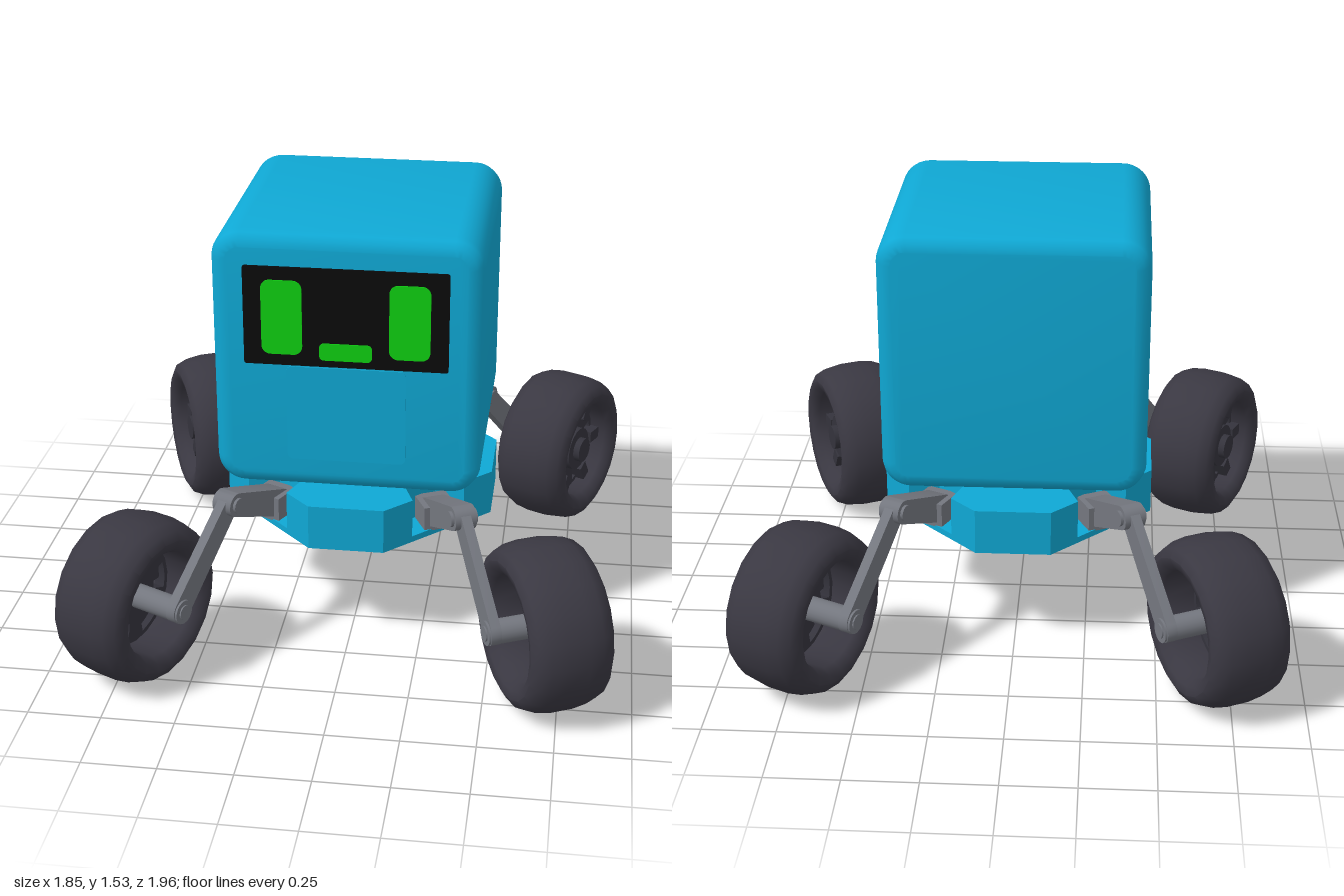
import * as THREE from 'three';
import { toCreasedNormals } from 'three/addons/utils/BufferGeometryUtils.js';
import { ConvexGeometry } from 'three/addons/geometries/ConvexGeometry.js';

const material = (name, color) => {
  const m = new THREE.MeshStandardMaterial({ color });
  m.name = name;
  return m;
};

// Rectangle with rounded corners, centred on (x, y)
function roundedRect(x, y, w, h, r) {
  const s = new THREE.Shape();
  const a = w / 2 - r, b = h / 2 - r;
  s.absarc(x + a, y + b, r, 0, Math.PI / 2);
  s.absarc(x - a, y + b, r, Math.PI / 2, Math.PI);
  s.absarc(x - a, y - b, r, Math.PI, Math.PI * 1.5);
  s.absarc(x + a, y - b, r, Math.PI * 1.5, Math.PI * 2);
  s.closePath();
  return s;
}

const slab = (shape, depth, curveSegments = 5) =>
  new THREE.ExtrudeGeometry(shape, { depth, curveSegments, bevelEnabled: false });

// Tapered bar with round ends between two (z, y) points, centred across x
function linkGeometry(a, ra, b, rb, width) {
  const dir = Math.atan2(b[1] - a[1], b[0] - a[0]);
  const s = new THREE.Shape();
  s.absarc(b[0], b[1], rb, dir - Math.PI / 2, dir + Math.PI / 2);
  s.absarc(a[0], a[1], ra, dir + Math.PI / 2, dir + Math.PI * 1.5);
  s.closePath();
  const g = slab(s, width, 6);
  g.rotateY(-Math.PI / 2).translate(width / 2, 0, 0);
  return toCreasedNormals(g, 0.7);
}

export function createModel() {
  const blue = material('body blue', 0x0fa8d4);
  const grey = material('metal grey', 0x74777f);
  const tyreMat = material('tyre charcoal', 0x3a3842);
  const rimMat = material('rim charcoal', 0x34333c);
  const black = material('screen black', 0x0a0a0b);
  const green = material('display green', 0x0fd012);

  const model = new THREE.Group();
  model.name = 'robot';
  const add = (parent, name, geometry, mat, x = 0, y = 0, z = 0) => {
    const m = new THREE.Mesh(geometry, mat);
    m.name = name;
    m.position.set(x, y, z);
    parent.add(m);
    return m;
  };

  // Head: rounded cube
  const head = new THREE.ExtrudeGeometry(roundedRect(0, 0, 0.8, 0.81, 0.05), {
    depth: 0.8, bevelEnabled: true, bevelSize: 0.05, bevelThickness: 0.05, bevelSegments: 3, curveSegments: 4,
  });
  head.translate(0, 1.075, -0.4);
  add(model, 'head', toCreasedNormals(head, 0.75), blue);

  // Face: screen, eyes, mouth and chest panel
  add(model, 'screen', slab(roundedRect(0, 1.248, 0.68, 0.345, 0.008), 0.007), black, 0, 0, 0.449);
  for (const s of [-1, 1])
    add(model, 'eye', slab(roundedRect(s * 0.212, 1.245, 0.136, 0.26, 0.03), 0.005), green, 0, 0, 0.455);
  add(model, 'mouth', slab(roundedRect(0, 1.13, 0.175, 0.06, 0.015), 0.005), green, 0, 0, 0.455);
  add(model, 'chestPanel', slab(roundedRect(0, 0.9, 0.4, 0.34, 0.02), 0.005), blue, 0, 0, 0.449);

  // Neck
  const neck = new THREE.CylinderGeometry(0.215, 0.215, 0.1, 32);
  add(model, 'neck', neck, grey, 0, 0.59, 0);

  // Base: shallow octagonal pan with a notched deck above it
  const pan = [];
  for (const [y, k] of [[0.36, 0.5], [0.398, 1], [0.42, 1]])
    for (const sx of [-1, 1]) for (const sz of [-1, 1])
      pan.push(new THREE.Vector3(sx * 0.13 * k, y, sz * 0.475 * k),
        new THREE.Vector3(sx * 0.475 * k, y, sz * 0.13 * k));
  add(model, 'basePan', new ConvexGeometry(pan), blue);

  const corner = [[0.475, 0.13], [0.385, 0.22], [0.28, 0.18], [0.18, 0.28], [0.22, 0.385], [0.13, 0.475]];
  const outline = [];
  for (let q = 0; q < 4; q++)
    for (const [x, y] of corner)
      outline.push(new THREE.Vector2(x, y).rotateAround(new THREE.Vector2(), q * Math.PI / 2));
  const deck = slab(new THREE.Shape(outline), 0.145).rotateX(-Math.PI / 2);
  add(model, 'baseDeck', deck, blue, 0, 0.415, 0);

  // Wheel shapes, with the axle along x
  const tyreProfile = [
    [0.185, -0.11], [0.205, -0.138], [0.235, -0.145], [0.265, -0.128], [0.282, -0.09], [0.29, -0.04],
    [0.29, 0.04], [0.282, 0.09], [0.265, 0.128], [0.235, 0.145], [0.205, 0.138], [0.185, 0.11], [0.185, -0.11],
  ].map(([r, y]) => new THREE.Vector2(r, y));
  const tyre = toCreasedNormals(new THREE.LatheGeometry(tyreProfile, 20).rotateZ(-Math.PI / 2), 0.75);

  const disc = new THREE.Shape().absarc(0, 0, 0.19, 0, Math.PI * 2);
  for (let i = 0; i < 6; i++) {
    const mid = i * Math.PI / 3, hole = new THREE.Path();
    hole.absarc(0, 0, 0.168, mid - 0.3, mid + 0.3);
    hole.absarc(0, 0, 0.108, mid + 0.26, mid - 0.26, true);
    hole.closePath();
    disc.holes.push(hole);
  }
  const rim = slab(disc, 0.04, 10).rotateY(Math.PI / 2).translate(-0.02, 0, 0);
  const drum = (r, len, sides = 20) => new THREE.CylinderGeometry(r, r, len, sides).rotateZ(Math.PI / 2);
  const hub = drum(0.085, 0.1), hubCap = drum(0.048, 0.03);
  const lug = new THREE.BoxGeometry(0.05, 0.07, 0.045);

  const upperLink = linkGeometry([-0.26, 0.465], 0.05, [0, 0.57], 0.042, 0.075);
  const lowerLink = linkGeometry([0, 0.57], 0.04, [0.295, 0.295], 0.045, 0.035);

  // Leg with wheel; s is +1 for an outward axle along +x, -1 for -x
  function makeLeg(s) {
    const leg = new THREE.Group();
    leg.name = 'leg';
    leg.position.set(s * 0.4, 0, 0.5);
    leg.rotation.y = s * THREE.MathUtils.degToRad(25.5);

    add(leg, 'shoulderBracket', new THREE.BoxGeometry(0.115, 0.09, 0.11), grey, 0, 0.46, -0.265);
    add(leg, 'upperArm', upperLink, grey);
    add(leg, 'elbowPin', drum(0.027, 0.095, 12), grey, 0, 0.57, 0);
    add(leg, 'lowerArm', lowerLink, grey);
    add(leg, 'axle', drum(0.042, 0.2), grey, s * 0.075, 0.292, 0.294);
    add(leg, 'axleCap', drum(0.026, 0.06, 12), grey, 0, 0.292, 0.294);

    const wheel = new THREE.Group();
    wheel.name = 'wheel';
    wheel.position.set(s * 0.186, 0.29, 0.294);
    leg.add(wheel);
    add(wheel, 'tyre', tyre, tyreMat);
    add(wheel, 'rim', rim, rimMat, s * 0.03);
    add(wheel, 'hub', hub, rimMat, s * 0.04);
    add(wheel, 'hubCap', hubCap, rimMat, s * 0.1);
    // Raised lugs on the spokes between the rim openings
    for (let i = 0; i < 6; i++) {
      const a = (i + 0.5) * Math.PI / 3;
      const m = add(wheel, 'spokeLug', lug, rimMat, s * 0.06, Math.cos(a) * 0.15, Math.sin(a) * 0.15);
      m.rotation.x = a;
    }
    return leg;
  }

  // Front pair, then the same pair turned to the back
  for (const turn of [0, Math.PI]) {
    const pair = new THREE.Group();
    pair.name = turn ? 'backLegs' : 'frontLegs';
    pair.rotation.y = turn;
    pair.add(makeLeg(1), makeLeg(-1));
    model.add(pair);
  }
  return model;
}
